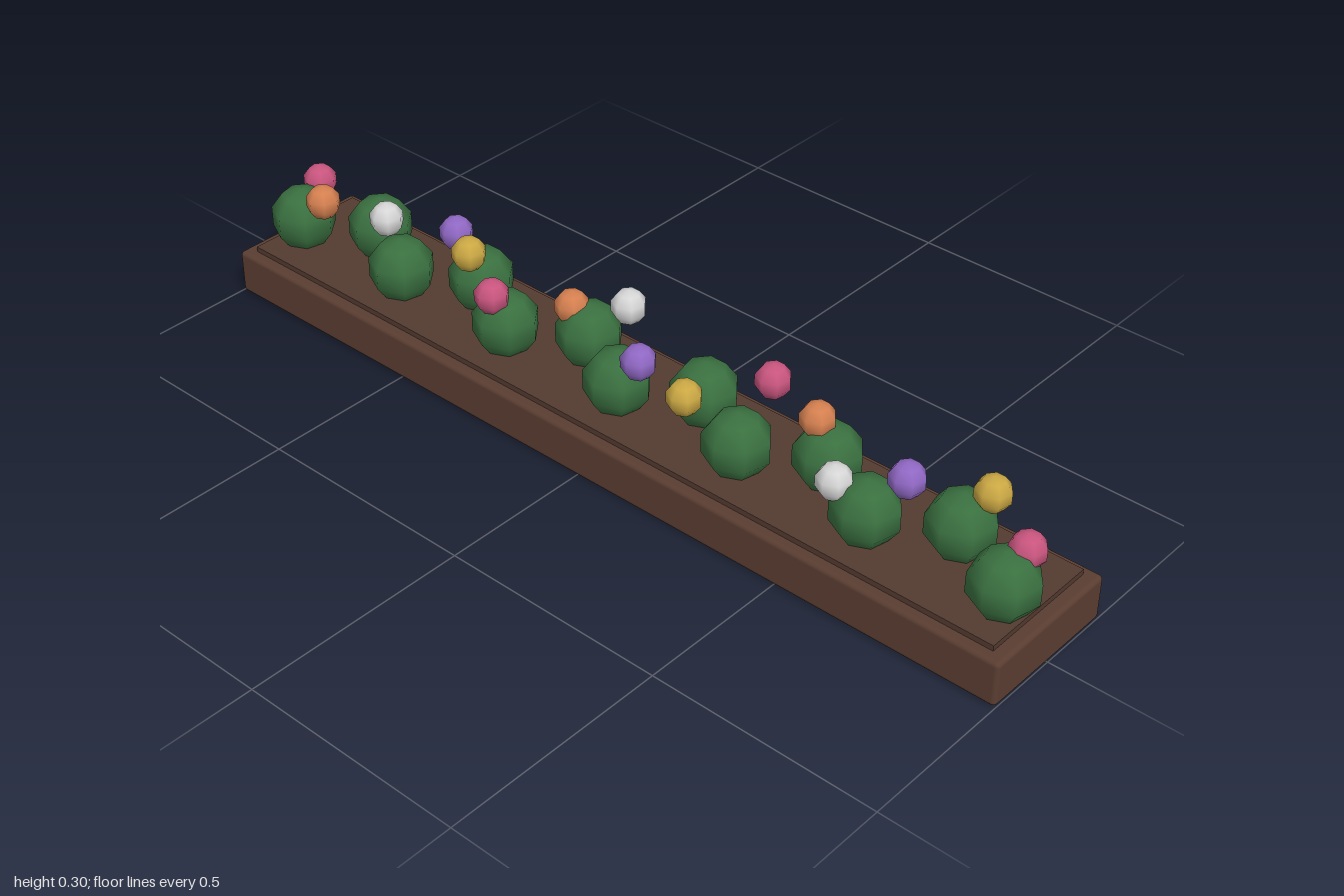
import * as THREE from 'three';
import { RoundedBoxGeometry } from 'three/addons/geometries/RoundedBoxGeometry.js';

const paint = (name, color) => {
  const m = new THREE.MeshStandardMaterial({ color });
  m.name = name;
  return m;
};

export function createModel() {
  const group = new THREE.Group();
  group.name = 'flowerPlanter';
  const wood = paint('wood brown', 0x5a3d31);
  const soilBrown = paint('soil brown', 0x533a30);
  const leaf = paint('leaf green', 0x3a7040);
  const petals = [
    paint('petal pink', 0xc9557f),
    paint('petal yellow', 0xcba844),
    paint('petal purple', 0x9068c4),
    paint('petal white', 0xd6d6d6),
    paint('petal orange', 0xd58050),
  ];

  const add = (name, geometry, material, x, y, z) => {
    const mesh = new THREE.Mesh(geometry, material);
    mesh.name = name;
    mesh.position.set(x, y, z);
    group.add(mesh);
    return mesh;
  };

  // Long trough with softened edges, and the soil raised just above its rim
  add('trough', new RoundedBoxGeometry(0.33, 0.1, 2, 2, 0.01), wood, 0, 0.05, 0);
  add('soil', new THREE.BoxGeometry(0.28, 0.03, 1.94), soilBrown, 0, 0.097, 0);

  // Thirteen bushes in a zigzag row
  const bushGeometry = new THREE.SphereGeometry(0.073, 7, 5);
  for (let i = 0; i < 13; i++) {
    const x = i % 2 ? 0.041 : -0.043;
    add('bush', bushGeometry, leaf, x, 0.165, 0.92 - i * 0.1533);
  }

  // Sixteen blossoms: colours and heights repeat from front to back
  const blossomGeometry = new THREE.SphereGeometry(0.038, 7, 5);
  const blossomX = [0, 0.07, -0.022, -0.072, 0.035, 0.055, -0.058, -0.05,
    0.06, 0.027, -0.075, -0.015, 0.07, -0.012, -0.077, 0.023];
  const heights = [0.222, 0.242, 0.262];
  blossomX.forEach((x, i) => {
    add('blossom', blossomGeometry, petals[i % 5], x, heights[i % 3], 0.933 - i * 0.1245);
  });

  return group;
}
